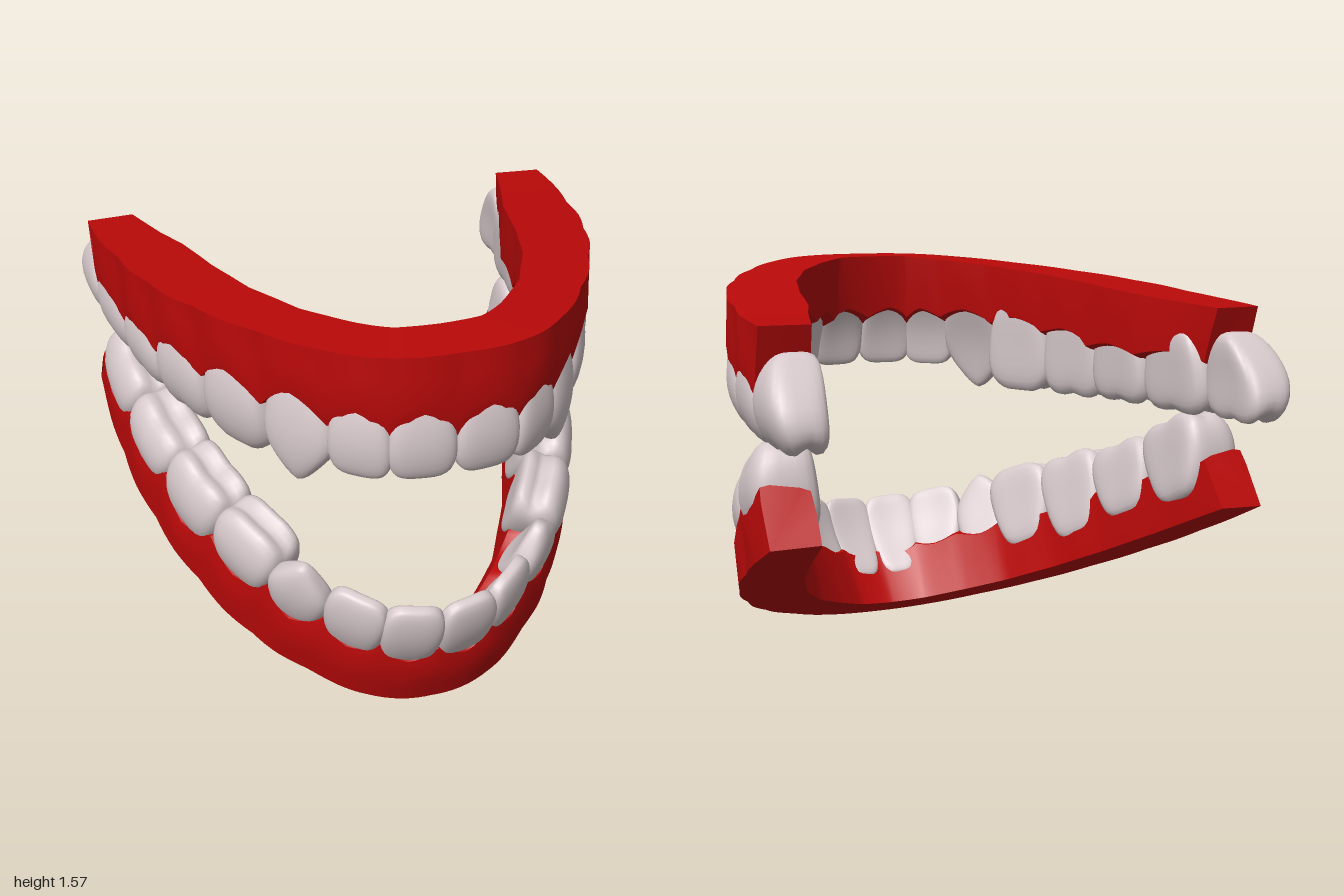
import * as THREE from 'three';
import { mergeVertices, toCreasedNormals } from 'three/addons/utils/BufferGeometryUtils.js';

const gumRed = new THREE.MeshStandardMaterial({ color: 0xbb0909 });
gumRed.name = 'gum red';
const enamel = new THREE.MeshStandardMaterial({ color: 0xd8cacc });
enamel.name = 'enamel';

// Both jaws are described growing upward from the gum base.
// arch: outer [x, z] at each gap between teeth, from the middle to the back.
// tip, margin: height per tooth. papilla, gumDepth: gum height and thickness at each gap.
// inset: how far the inner margin leans outward at the front.
const UPPER = {
  name: 'upper',
  arch: [[0, 0.975], [0.23, 0.94], [0.41, 0.805], [0.585, 0.575], [0.735, 0.295], [0.845, 0], [0.91, -0.31], [0.955, -0.67], [0.965, -1.005]],
  tip: [0.48, 0.485, 0.575, 0.58, 0.56, 0.55, 0.55, 0.54],
  margin: [0.215, 0.22, 0.215, 0.235, 0.26, 0.3, 0.3, 0.3],
  papilla: [0.32, 0.32, 0.31, 0.32, 0.33, 0.36, 0.37, 0.37],
  gumDepth: [0.21, 0.21, 0.215, 0.22, 0.24, 0.265, 0.265, 0.19],
  depth: [0.17, 0.17, 0.2, 0.23, 0.24, 0.25, 0.24, 0.2],
  gumTeeth: 7, flare: 0.015, lean: 0, endShift: 0.075, inset: 0.05,
  base: (z) => 0.075 * (0.99 - z),
};
const LOWER = {
  name: 'lower',
  arch: [[0, -0.045], [0.22, -0.095], [0.405, -0.24], [0.575, -0.42], [0.725, -0.69], [0.84, -1.0], [0.915, -1.33], [0.95, -1.69]],
  tip: [0.5, 0.495, 0.505, 0.495, 0.455, 0.415, 0.42],
  margin: [0.22, 0.23, 0.22, 0.22, 0.18, 0.2, 0.18],
  papilla: [0.27, 0.28, 0.29, 0.295, 0.27, 0.28, 0.26, 0.23],
  gumDepth: [0.185, 0.185, 0.19, 0.2, 0.21, 0.22, 0.22, 0.185],
  depth: [0.16, 0.16, 0.19, 0.22, 0.24, 0.25, 0.24],
  gumTeeth: 7, flare: 0.048, lean: 0.025, endShift: 0.05, inset: 0.07,
  base: () => 0,
};
const TOOTH_NAMES = ['centralIncisor', 'lateralIncisor', 'canine', 'firstPremolar',
  'secondPremolar', 'firstMolar', 'secondMolar', 'thirdMolar'];

// Returns point, tangent and outward normal at gap number u (negative = right side).
function archFrame(jaw) {
  const n = jaw.arch.length - 1;
  const half = jaw.arch.map(([x, z]) => new THREE.Vector3(x, 0, z));
  const mirrored = half.slice(1).reverse().map((p) => new THREE.Vector3(-p.x, 0, p.z));
  const curve = new THREE.CatmullRomCurve3([...mirrored, ...half], false, 'catmullrom', 0.5);
  return (u) => {
    const t = (u + n) / (2 * n);
    const T = curve.getTangent(t);
    return { P: curve.getPoint(t), T, N: new THREE.Vector3(-T.z, 0, T.x) };
  };
}

// Gum: a closed section swept along the arch, with a scalloped margin and a bulge over each tooth.
function makeGum(jaw, frame) {
  const n = jaw.gumTeeth, steps = 8, count = 2 * n * steps, K = 9;
  const pos = [], index = [];
  for (let i = 0; i <= count; i++) {
    const u = -n + i / steps, au = Math.abs(u);
    const tooth = Math.min(Math.floor(au), n - 1), f = au - tooth;
    const { P, T, N } = frame(u);
    const between = (list) => THREE.MathUtils.lerp(list[tooth], list[tooth + 1], f);
    const gap = Math.pow(Math.abs(2 * f - 1), 1.5);
    const peak = between(jaw.papilla);
    const m = THREE.MathUtils.lerp(jaw.margin[tooth], peak, gap);
    const inner = THREE.MathUtils.lerp(jaw.margin[tooth], peak, 0.2 + 0.4 * gap);
    const b = jaw.base(P.z), D = between(jaw.gumDepth);
    const inset = jaw.inset * Math.max(0, 1 - au / 4.5);
    const dip = 0.02 * gap, wave = au > 2.5 ? dip : dip * 0.3;
    const flare = jaw.flare * (1 - (au / n) ** 3) + 0.008 * (au / n);
    const shift = Math.sign(u) * jaw.endShift * Math.max(0, (au - n + 0.5) * 2);
    const section = [
      [flare - wave * 0.5, b, 1], [flare * 0.8 + 0.006 - wave, b + (m - b) * 0.35, 0.65],
      [flare * 0.4 + 0.016 - wave, b + (m - b) * 0.75, 0.25], [0.014 - dip, m, 0],
      [-0.04, m + 0.005, 0], [-D + 0.04 + inset, inner + 0.005, 0],
      [-D + inset + dip * 0.3, inner - 0.01, 0], [-D - 0.004 + inset * 0.5 + dip * 0.3, (b + inner) / 2, 0.5],
      [-D + wave * 0.3, b, 1],
    ];
    for (const [out, h, s] of section) {
      const p = P.clone().addScaledVector(N, out).addScaledVector(T, shift * s);
      pos.push(p.x, h, p.z);
    }
  }
  for (let i = 0; i < count; i++) {
    for (let j = 0; j < K; j++) {
      const p = i * K + j, q = i * K + (j + 1) % K;
      index.push(p, p + K, q, q, p + K, q + K);
    }
  }
  const last = count * K;
  for (let j = 1; j < K - 1; j++) index.push(0, j, j + 1, last, last + j + 1, last + j);
  const geo = new THREE.BufferGeometry();
  geo.setAttribute('position', new THREE.Float32BufferAttribute(pos, 3));
  geo.setIndex(index);
  const mesh = new THREE.Mesh(toCreasedNormals(geo, 0.75), gumRed);
  mesh.name = jaw.name + 'Gum';
  return mesh;
}

// Tooth: a rounded block, shaped by its kind; root at y = 0, outer face towards +z.
function toothGeometry(kind, side, width, height, depth, lean) {
  const geo = new THREE.BoxGeometry(2, 2, 2, 10, 10, 8);
  geo.deleteAttribute('uv');
  geo.deleteAttribute('normal');
  const pos = geo.attributes.position;
  const front = kind < 3, canine = kind === 2, back = kind === 7;
  const power = canine ? 3.5 : 4.5;
  const neck = back ? 0.22 : canine ? 0.5 : 0.62;
  for (let i = 0; i < pos.count; i++) {
    let a = pos.getX(i), b = pos.getY(i), c = pos.getZ(i);
    const r = Math.pow(Math.abs(a) ** power + Math.abs(b) ** power + Math.abs(c) ** power, 1 / power);
    a /= r; b /= r; c /= r;
    const s = (b + 1) / 2;
    // Narrow neck, widest near two thirds up
    let w = neck + (1.04 - neck) * Math.sin(Math.PI * s * 0.72);
    if (canine) w *= 1.04 - 0.25 * s ** 4;
    // The rearmost tooth slopes down towards the back
    const x = a * w * width / 2 - (back ? side * 0.05 * (1 - s) : 0);
    // Front teeth thin towards the biting edge
    const thick = depth * (front ? 1 - 0.6 * s : 0.85 + 0.2 * Math.sin(Math.PI * s) - 0.1 * s);
    const outer = -0.03 + 0.05 * Math.sin(Math.PI * s * (front ? 0.8 : 1)) - lean * (s - 0.5);
    const z = outer - thick * (1 - c) / 2 - (front ? 0.7 : 0.35) * x * x;
    // Pointed canines; grooves and cusps on the chewing teeth
    let y = s;
    if (canine) y -= 0.18 * Math.abs(a) ** 1.4 * s ** 3;
    if (!front) {
      y -= s ** 5 * (0.1 * Math.exp(-((c / 0.35) ** 2)) + 0.04 * Math.exp(-((a / 0.25) ** 2)));
      if (kind === 3) y -= 0.09 * Math.abs(a) * s ** 3;
    }
    pos.setXYZ(i, x, y * height, z);
  }
  const smooth = mergeVertices(geo, 1e-5);
  smooth.computeVertexNormals();
  return smooth;
}

function makeJaw(jaw) {
  const group = new THREE.Group();
  group.name = jaw.name + 'Jaw';
  const frame = archFrame(jaw);
  group.add(makeGum(jaw, frame));
  jaw.tip.forEach((tip, k) => {
    const [x0, z0] = jaw.arch[k], [x1, z1] = jaw.arch[k + 1];
    const width = Math.hypot(x1 - x0, z1 - z0);
    const root = k === 7 ? 0.21 : jaw.margin[k] - 0.1;
    const lean = k < 3 ? jaw.lean : 0;
    for (const side of [-1, 1]) {
      const { P, N } = frame(side * (k + 0.5));
      const geo = toothGeometry(k, side, width, tip - root, jaw.depth[k], lean);
      const tooth = new THREE.Mesh(geo, enamel);
      tooth.name = jaw.name + TOOTH_NAMES[k][0].toUpperCase() + TOOTH_NAMES[k].slice(1);
      tooth.position.set(P.x, root, P.z);
      tooth.rotation.y = Math.atan2(N.x, N.z);
      group.add(tooth);
    }
  });
  return group;
}

export function createModel() {
  const model = new THREE.Group();
  model.name = 'openDentures';
  // Upper jaw hangs upside down
  const upper = makeJaw(UPPER);
  upper.rotation.z = Math.PI;
  upper.position.y = 1.575;
  // Lower jaw is swung open
  const lower = makeJaw(LOWER);
  lower.rotation.x = 0.42;
  lower.position.set(0, 0.002, 0.77);
  model.add(upper, lower);
  return model;
}
